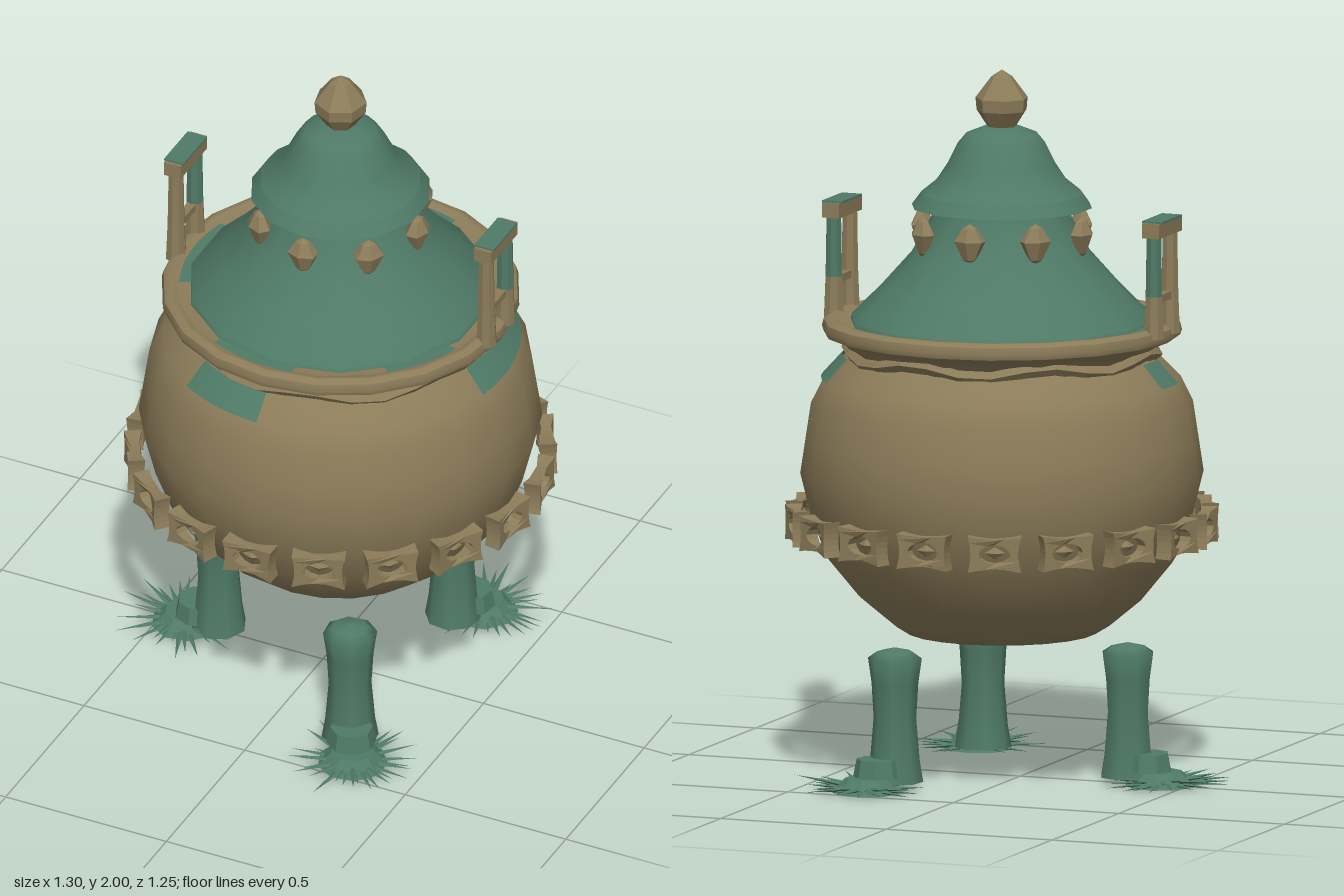
import * as THREE from 'three';
import { mergeGeometries } from 'three/addons/utils/BufferGeometryUtils.js';

const bronze = new THREE.MeshStandardMaterial({ color: 0x8c7c59, side: THREE.DoubleSide });
bronze.name = 'aged bronze';
const green = new THREE.MeshStandardMaterial({ color: 0x4f7a67, side: THREE.DoubleSide });
green.name = 'green patina';

function mesh(parent, name, geometry, material, x = 0, y = 0, z = 0) {
  const m = new THREE.Mesh(geometry, material);
  m.name = name;
  m.position.set(x, y, z);
  parent.add(m);
  return m;
}

function lathe(points, sides, start = 0, length = Math.PI * 2) {
  return new THREE.LatheGeometry(points.map(p => new THREE.Vector2(p[0], p[1])), sides, start, length);
}

function flat(geometry) {
  const g = geometry.index ? geometry.toNonIndexed() : geometry;
  g.computeVertexNormals();
  return g;
}

// Group placed on a circle round the pot, its +z pointing outward
function around(parent, name, angle, radius, y) {
  const g = new THREE.Group();
  g.name = name;
  g.rotation.y = angle;
  g.position.set(Math.sin(angle) * radius, y, Math.cos(angle) * radius);
  parent.add(g);
  return g;
}

// Pinched rectangular frame with an oval hole
function studFrame() {
  const shape = new THREE.Shape();
  shape.moveTo(-0.075, -0.05);
  shape.quadraticCurveTo(0, -0.035, 0.075, -0.05);
  shape.quadraticCurveTo(0.06, 0, 0.075, 0.05);
  shape.quadraticCurveTo(0, 0.035, -0.075, 0.05);
  shape.quadraticCurveTo(-0.06, 0, -0.075, -0.05);
  const hole = new THREE.Path();
  hole.absellipse(0, 0, 0.045, 0.027, 0, Math.PI * 2, true);
  shape.holes.push(hole);
  const g = new THREE.ExtrudeGeometry(shape, { depth: 0.05, bevelEnabled: false, curveSegments: 6 });
  g.translate(0, 0, -0.025);
  const p = g.attributes.position;
  for (let i = 0; i < p.count; i++) p.setZ(i, p.getZ(i) * (0.35 + 0.65 * Math.abs(p.getX(i)) / 0.075));
  return flat(g);
}

// Tuft of flat pointed blades spreading over the ground
function spikes(seed) {
  let s = seed;
  const rnd = () => (s = (s * 16807) % 2147483647) / 2147483647;
  const blades = [];
  const count = 34;
  for (let i = 0; i < count; i++) {
    const length = 0.12 + 0.09 * rnd();
    const g = new THREE.ConeGeometry(0.016, length, 4);
    g.translate(0, length / 2, 0);
    g.rotateX(Math.PI / 2 - 0.28 * rnd() * (i % 2));
    g.scale(1, 0.6, 1);
    g.rotateY((i + 0.7 * rnd()) / count * Math.PI * 2);
    g.translate(0, 0.011, 0);
    blades.push(g);
  }
  return flat(mergeGeometries(blades));
}

export function createModel() {
  const model = new THREE.Group();
  model.name = 'lidded cauldron';
  const pot = new THREE.Group();
  pot.name = 'pot';
  pot.position.x = 0.055;
  model.add(pot);

  // Body, neck and rim
  mesh(pot, 'body', lathe([[0, 0.405], [0.27, 0.41], [0.31, 0.435], [0.4, 0.51], [0.49, 0.62], [0.535, 0.74],
    [0.565, 0.86], [0.55, 0.96], [0.535, 1.06], [0.5, 1.13], [0.44, 1.19], [0.42, 1.21]], 22), bronze);
  mesh(pot, 'rimFlare', lathe([[0.42, 1.2], [0.45, 1.235], [0.5, 1.255]], 20), bronze);
  mesh(pot, 'rimEdge', lathe([[0.5, 1.255], [0.505, 1.27], [0.5, 1.29]], 20), bronze);
  mesh(pot, 'rimTop', lathe([[0.5, 1.29], [0.485, 1.3], [0.47, 1.3], [0.455, 1.285], [0.39, 1.285]], 20), bronze);

  // Uneven collar under the rim
  const collar = new THREE.TorusGeometry(0.43, 0.02, 5, 30);
  collar.rotateX(Math.PI / 2);
  const cp = collar.attributes.position;
  for (let i = 0; i < cp.count; i++) {
    const a = Math.atan2(cp.getX(i), cp.getZ(i));
    cp.setY(i, cp.getY(i) + 0.014 * Math.sin(a * 7));
  }
  mesh(pot, 'collar', flat(collar), bronze, 0, 1.205, 0);

  // Patina patches on the shoulder and the rim shelf
  for (const [start, length] of [[-0.56, 0.53], [Math.PI / 2 - 0.21, 0.84], [-Math.PI / 2 - 0.1, 0.25]]) {
    mesh(pot, 'shoulderPatch', lathe([[0.507, 1.13], [0.447, 1.195]], 6, start, length), green);
  }
  for (const [start, length] of [[-0.45, 0.6], [0.75, 0.5], [-1.85, 0.7], [2.8, 0.4]]) {
    mesh(pot, 'shelfPatch', lathe([[0.452, 1.289], [0.4, 1.289]], 6, start, length), green);
  }

  // Lid: cone, overhanging lip and cap
  mesh(pot, 'lidCone', lathe([[0.43, 1.28], [0.425, 1.3], [0.34, 1.385], [0.255, 1.48], [0.2, 1.58], [0.185, 1.64]], 14), green);
  mesh(pot, 'lidUnderside', lathe([[0.18, 1.635], [0.255, 1.613]], 14), green);
  mesh(pot, 'lidLip', lathe([[0.255, 1.613], [0.228, 1.65]], 14), green);
  mesh(pot, 'lidCap', lathe([[0.228, 1.65], [0.185, 1.685], [0.155, 1.73], [0.125, 1.79], [0.1, 1.82], [0.05, 1.84], [0, 1.84]], 14), green);
  mesh(pot, 'knob', flat(lathe([[0, 1.825], [0.035, 1.83], [0.072, 1.885], [0.075, 1.92], [0.03, 1.98], [0, 2]], 7)), bronze);

  // Diamond beads below the lip
  const beadShape = flat(lathe([[0, -0.06], [0.02, -0.045], [0.047, 0.008], [0.04, 0.018], [0.022, 0.045], [0, 0.058]], 6));
  for (let i = 0; i < 8; i++) {
    const g = around(pot, 'bead', i * Math.PI / 4, 0.24, 1.54);
    mesh(g, 'beadDiamond', beadShape, bronze).scale.z = 0.7;
  }

  // Belt of framed studs
  const frame = studFrame();
  const centre = flat(new THREE.OctahedronGeometry(0.025, 0));
  for (let i = 0; i < 18; i++) {
    const g = around(pot, 'stud', i * Math.PI / 9, 0.578, 0.72);
    mesh(g, 'studFrame', frame, bronze);
    mesh(g, 'studCentre', centre, bronze, 0, 0, -0.012).scale.set(1.2, 0.7, 0.5);
  }

  // Upright handles standing on the rim
  for (const side of [1, -1]) {
    const h = around(pot, side > 0 ? 'leftHandle' : 'rightHandle', side * Math.PI / 2, 0.483, 0);
    for (const x of [-0.06, 0.06]) {
      mesh(h, 'postFoot', flat(new THREE.CylinderGeometry(0.025, 0.03, 0.12, 8)), bronze, x, 1.335, 0);
      mesh(h, 'postTop', flat(new THREE.CylinderGeometry(0.022, 0.025, 0.17, 8)), x * side > 0 ? green : bronze, x, 1.48, 0);
    }
    mesh(h, 'topBar', new THREE.BoxGeometry(0.17, 0.042, 0.052), bronze, 0, 1.583, 0);
    mesh(h, 'topBarPatina', new THREE.BoxGeometry(0.15, 0.006, 0.06), green, 0, 1.606, 0);
    mesh(h, 'crossBar', new THREE.BoxGeometry(0.1, 0.022, 0.025), bronze, 0, 1.385, 0);
  }

  // Three legs with toes and spiked feet
  const legShape = lathe([[0.08, 0.02], [0.07, 0.08], [0.06, 0.2], [0.066, 0.3], [0.076, 0.37], [0.05, 0.388], [0, 0.4]], 8);
  [-Math.PI / 2, Math.PI / 6, Math.PI * 5 / 6].forEach((angle, i) => {
    const leg = around(pot, 'leg', angle, 0.38, 0);
    mesh(leg, 'shin', legShape, green);
    mesh(leg, 'toe', flat(new THREE.CylinderGeometry(0.06, 0.07, 0.05, 8)), green, 0, 0.065, 0.06);
    mesh(leg, 'footBase', flat(new THREE.CylinderGeometry(0.06, 0.1, 0.04, 9)), green, 0, 0.02, 0.1);
    mesh(leg, 'footSpikes', spikes(101 + i * 57), green, 0, 0, 0.11);
  });
  return model;
}
